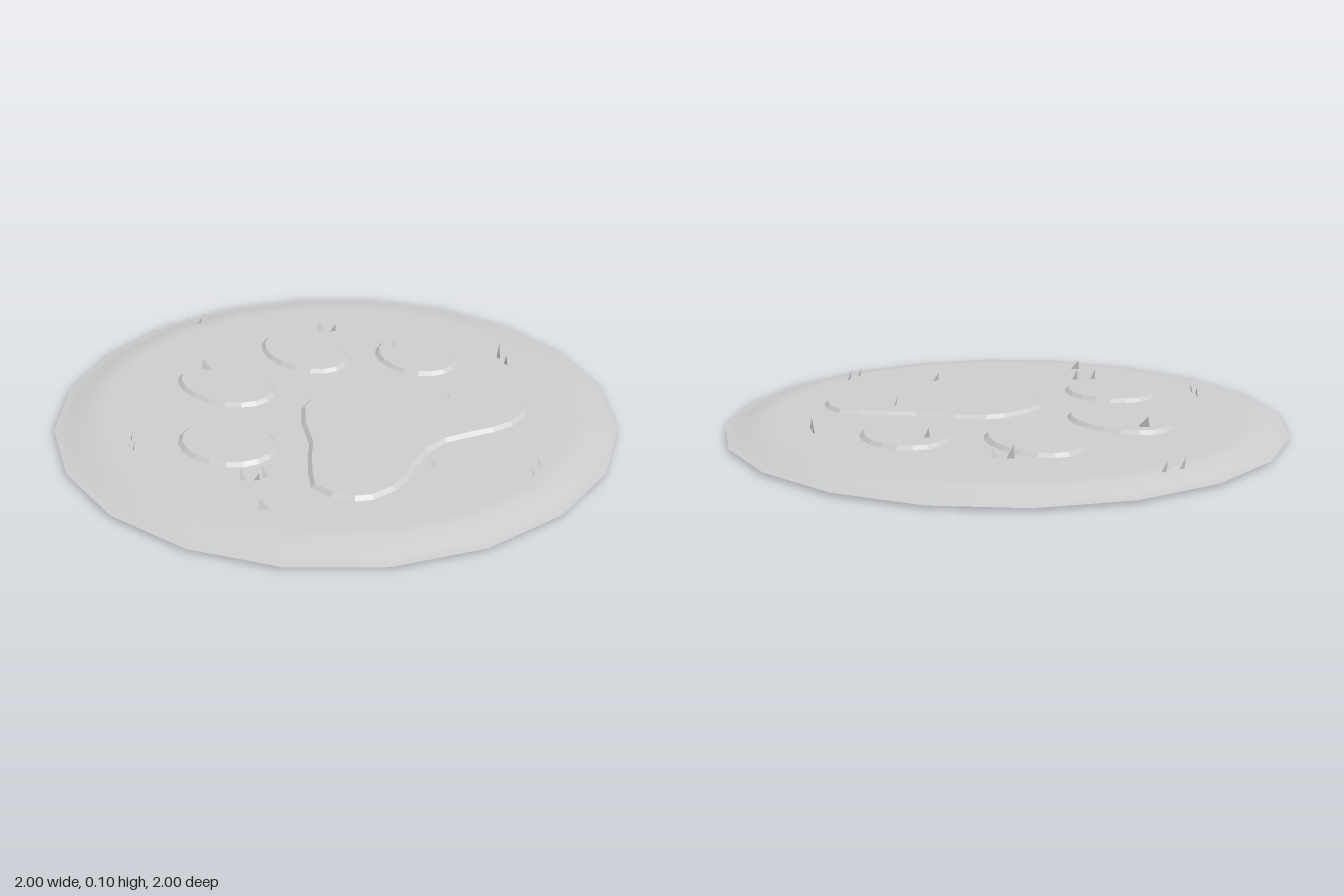
import * as THREE from 'three';

const GROUND = 0.052, PAD = 0.065;

const stone = new THREE.MeshStandardMaterial({ color: 0xcccccc, side: THREE.DoubleSide });
stone.name = 'stone grey';

const part = (name, geometry) => {
  const mesh = new THREE.Mesh(geometry, stone);
  mesh.name = name;
  return mesh;
};

// Outlines are [x, z] loops, clockwise seen from above
function oval(cx, cz, rx, rz, tilt, n = 18) {
  return Array.from({ length: n }, (_, i) => {
    const t = (i / n) * Math.PI * 2;
    const u = rx * Math.sin(t), v = -rz * Math.cos(t);
    return [cx + u * Math.cos(tilt) - v * Math.sin(tilt), cz + u * Math.sin(tilt) + v * Math.cos(tilt)];
  });
}

function inset(loop, d) {
  return loop.map(([x, z], i) => {
    const p = loop[(i + loop.length - 1) % loop.length], q = loop[(i + 1) % loop.length];
    const dx = q[0] - p[0], dz = q[1] - p[1], l = Math.hypot(dx, dz);
    return [x - (dz / l) * d, z + (dx / l) * d];
  });
}

const toVectors = (loop) => loop.map(([x, z]) => new THREE.Vector2(x, -z));

function flatFace(outline, y, holes = []) {
  const shape = new THREE.Shape(toVectors(outline));
  holes.forEach((h) => shape.holes.push(new THREE.Path(toVectors(h))));
  return new THREE.ShapeGeometry(shape).rotateX(-Math.PI / 2).translate(0, y, 0);
}

function triangles(positions) {
  const g = new THREE.BufferGeometry();
  g.setAttribute('position', new THREE.Float32BufferAttribute(positions, 3));
  g.computeVertexNormals();
  return g;
}

// Raised pad: sloping wall and flat top, open below
function pad(name, outline) {
  const group = new THREE.Group();
  group.name = name;
  const top = inset(outline, 0.014), pos = [];
  outline.forEach((a, i) => {
    const j = (i + 1) % outline.length, b = outline[j], c = top[i], d = top[j];
    pos.push(a[0], GROUND, a[1], c[0], PAD, c[1], b[0], GROUND, b[1]);
    pos.push(b[0], GROUND, b[1], c[0], PAD, c[1], d[0], PAD, d[1]);
  });
  group.add(part(name + 'Wall', triangles(pos)), part(name + 'Top', flatFace(top, PAD)));
  return group;
}

// Tuft of pointed blades standing in a row
function tuft([x, z, dx, dz, count, base, height]) {
  const pos = [], len = Math.hypot(dx, dz), ux = dx / len, uz = dz / len;
  const w = (len / count) * 0.42;
  for (let i = 0; i < count; i++) {
    const s = ((i + 0.5) / count - 0.5) * len;
    const side = i % 2 ? 1 : -1, lean = side * 0.012;
    const px = x + ux * s, pz = z + uz * s;
    const tip = height - (i % 2) * 0.012;
    pos.push(px - ux * w, base, pz - uz * w, px + ux * w, base, pz + uz * w);
    pos.push(px + ux * w * 0.7 * side - uz * lean, tip, pz + uz * w * 0.7 * side + ux * lean);
  }
  return part('grassTuft', triangles(pos));
}

export function createModel() {
  const model = new THREE.Group();
  model.name = 'pawPrintSlab';

  // Bevelled rim
  const profile = [[1, 0.02], [0.95, 0.026], [0.9, 0.051], [0.84, GROUND]];
  model.add(part('rim', new THREE.LatheGeometry(profile.map((p) => new THREE.Vector2(...p)), 20)));

  // Main pad outline, mirrored from its left half
  const half = [[0.06, -0.07], [0.13, -0.045], [0.21, 0.04], [0.29, 0.16], [0.36, 0.225], [0.43, 0.3],
    [0.48, 0.365], [0.475, 0.45], [0.44, 0.52], [0.39, 0.555], [0.3, 0.567], [0.22, 0.55], [0.14, 0.515], [0.05, 0.482]];
  const mainPad = [...half, ...half.map(([x, z]) => [-x, z]).reverse()];

  const outlines = { mainPad };
  for (const [side, s] of [['left', 1], ['right', -1]]) {
    outlines[side + 'InnerToe'] = oval(s * 0.2, -0.37, 0.145, 0.205, s * 0.12);
    outlines[side + 'OuterToe'] = oval(s * 0.48, -0.04, 0.148, 0.18, s * 0.2);
  }

  // Flat top with openings under the pads
  const disc = oval(0, 0, 0.84, 0.84, 0, 20);
  model.add(part('slabTop', flatFace(disc, GROUND, Object.values(outlines))));
  for (const [name, outline] of Object.entries(outlines)) model.add(pad(name, outline));

  // Tufts: x, z, row direction and length, blades, base, height
  const tufts = [
    [0.09, -0.88, 0.1, 0.02, 3, 0.035, 0.09],
    [-0.18, -0.5, 0.04, 0.05, 1, 0.05, 0.105],
    [0.4, -0.45, 0.07, 0.045, 2, 0.035, 0.1],
    [-0.72, -0.26, -0.055, 0.09, 3, 0.035, 0.085],
    [0.46, -0.13, 0.025, 0.02, 1, 0.05, 0.1],
    [-0.57, 0.2, 0.09, 0.06, 3, 0.035, 0.095],
    [0.68, 0.22, -0.02, 0.09, 2, 0.01, 0.108],
    [-0.67, 0.36, 0.05, 0.035, 1, 0.035, 0.09],
    [0.29, 0.29, 0.03, -0.02, 1, 0.05, 0.1],
    [-0.1, 0.56, 0.04, 0.01, 1, 0.035, 0.085],
    [0.12, 0.81, 0.1, -0.04, 3, 0.035, 0.09],
  ];
  const grass = new THREE.Group();
  grass.name = 'grass';
  tufts.forEach((t) => grass.add(tuft(t)));
  model.add(grass);

  return model;
}
